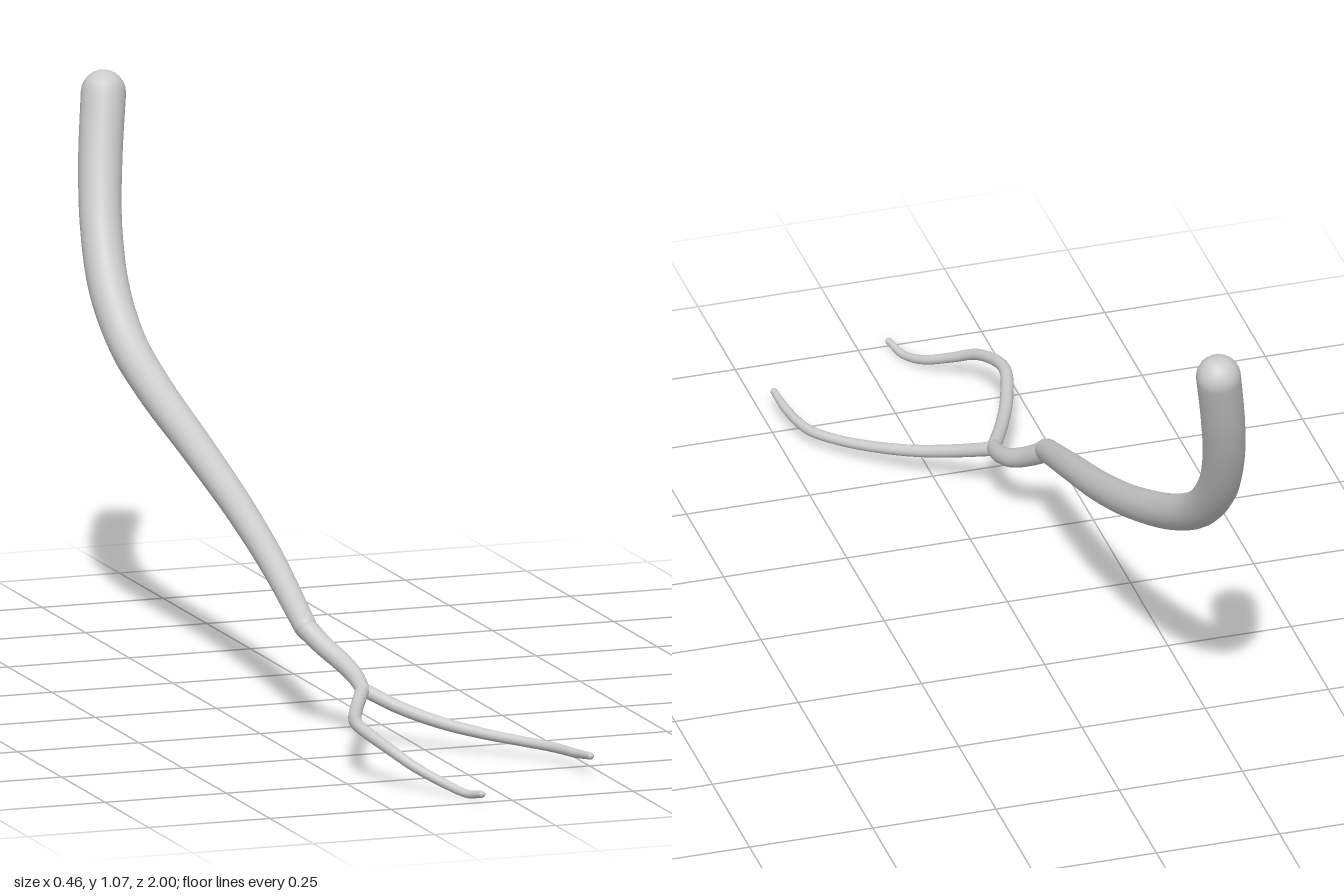
import * as THREE from 'three';

const SIDES = 20;
const CAP = 6;

// Tapered tube with rounded ends; each point is [x, y, z, radius].
function limb(name, points, steps, material) {
  const curve = new THREE.CatmullRomCurve3(points.map(p => new THREE.Vector3(p[0], p[1], p[2])));
  const frames = curve.computeFrenetFrames(steps, false);
  const rings = [];
  const addRing = (i, offset, scale) => {
    const t = curve.getUtoTmapping(i / steps);
    const f = t * (points.length - 1);
    const k = Math.min(Math.floor(f), points.length - 2);
    const r = THREE.MathUtils.lerp(points[k][3], points[k + 1][3], f - k);
    const center = curve.getPoint(t).addScaledVector(frames.tangents[i], offset * r);
    rings.push({ center, r: r * scale, n: frames.normals[i], b: frames.binormals[i] });
  };
  // rounded start, body, rounded end
  for (let j = 0; j < CAP; j++) {
    const a = (j / CAP) * Math.PI / 2;
    addRing(0, -Math.cos(a), Math.max(Math.sin(a), 0.001));
  }
  for (let i = 0; i <= steps; i++) addRing(i, 0, 1);
  for (let j = CAP - 1; j >= 0; j--) {
    const a = (j / CAP) * Math.PI / 2;
    addRing(steps, Math.cos(a), Math.max(Math.sin(a), 0.001));
  }

  const position = [];
  const index = [];
  rings.forEach(({ center, r, n, b }, i) => {
    for (let s = 0; s < SIDES; s++) {
      const a = (s / SIDES) * Math.PI * 2;
      const v = center.clone().addScaledVector(n, Math.cos(a) * r).addScaledVector(b, Math.sin(a) * r);
      position.push(v.x, v.y, v.z);
      if (i === rings.length - 1) continue;
      const p = i * SIDES + s;
      const q = i * SIDES + (s + 1) % SIDES;
      index.push(p, q, p + SIDES, q, q + SIDES, p + SIDES);
    }
  });
  const geometry = new THREE.BufferGeometry();
  geometry.setAttribute('position', new THREE.Float32BufferAttribute(position, 3));
  geometry.setIndex(index);
  geometry.computeVertexNormals();
  const mesh = new THREE.Mesh(geometry, material);
  mesh.name = name;
  return mesh;
}

export function createModel() {
  const group = new THREE.Group();
  group.name = 'branchingVessel';
  const material = new THREE.MeshStandardMaterial({ color: 0xcccccc });

  // thick upper stem, sweeping down and forward
  group.add(limb('trunk', [
    [-0.14, 1.026, -0.953, 0.044], [-0.162, 0.90, -0.91, 0.043], [-0.18, 0.78, -0.855, 0.041],
    [-0.188, 0.67, -0.785, 0.040], [-0.181, 0.58, -0.70, 0.038], [-0.165, 0.51, -0.59, 0.036],
    [-0.142, 0.425, -0.40, 0.033], [-0.131, 0.35, -0.20, 0.030], [-0.133, 0.28, 0.0, 0.027],
    [-0.143, 0.20, 0.21, 0.023],
  ], 90, material));

  // narrow neck between the trunk and the fork
  group.add(limb('neck', [
    [-0.143, 0.198, 0.21, 0.022], [-0.121, 0.168, 0.25, 0.02], [-0.098, 0.142, 0.295, 0.019],
    [-0.089, 0.124, 0.345, 0.017], [-0.093, 0.107, 0.405, 0.014],
  ], 30, material));

  // fork, right side
  group.add(limb('rightBranch', [
    [-0.09, 0.107, 0.395, 0.014], [-0.138, 0.096, 0.495, 0.013], [-0.18, 0.094, 0.60, 0.013],
    [-0.204, 0.099, 0.70, 0.012], [-0.18, 0.075, 0.80, 0.011], [-0.144, 0.046, 0.85, 0.01],
    [-0.10, 0.02, 0.90, 0.009], [-0.074, 0.009, 0.95, 0.008], [-0.06, 0.016, 0.993, 0.007],
  ], 70, material));

  // fork, left side
  group.add(limb('leftBranch', [
    [-0.09, 0.107, 0.395, 0.014], [-0.035, 0.078, 0.455, 0.013], [0.03, 0.055, 0.515, 0.012],
    [0.09, 0.042, 0.57, 0.011], [0.15, 0.034, 0.63, 0.01], [0.194, 0.031, 0.69, 0.01],
    [0.214, 0.033, 0.77, 0.009], [0.221, 0.04, 0.835, 0.007],
  ], 60, material));

  return group;
}
